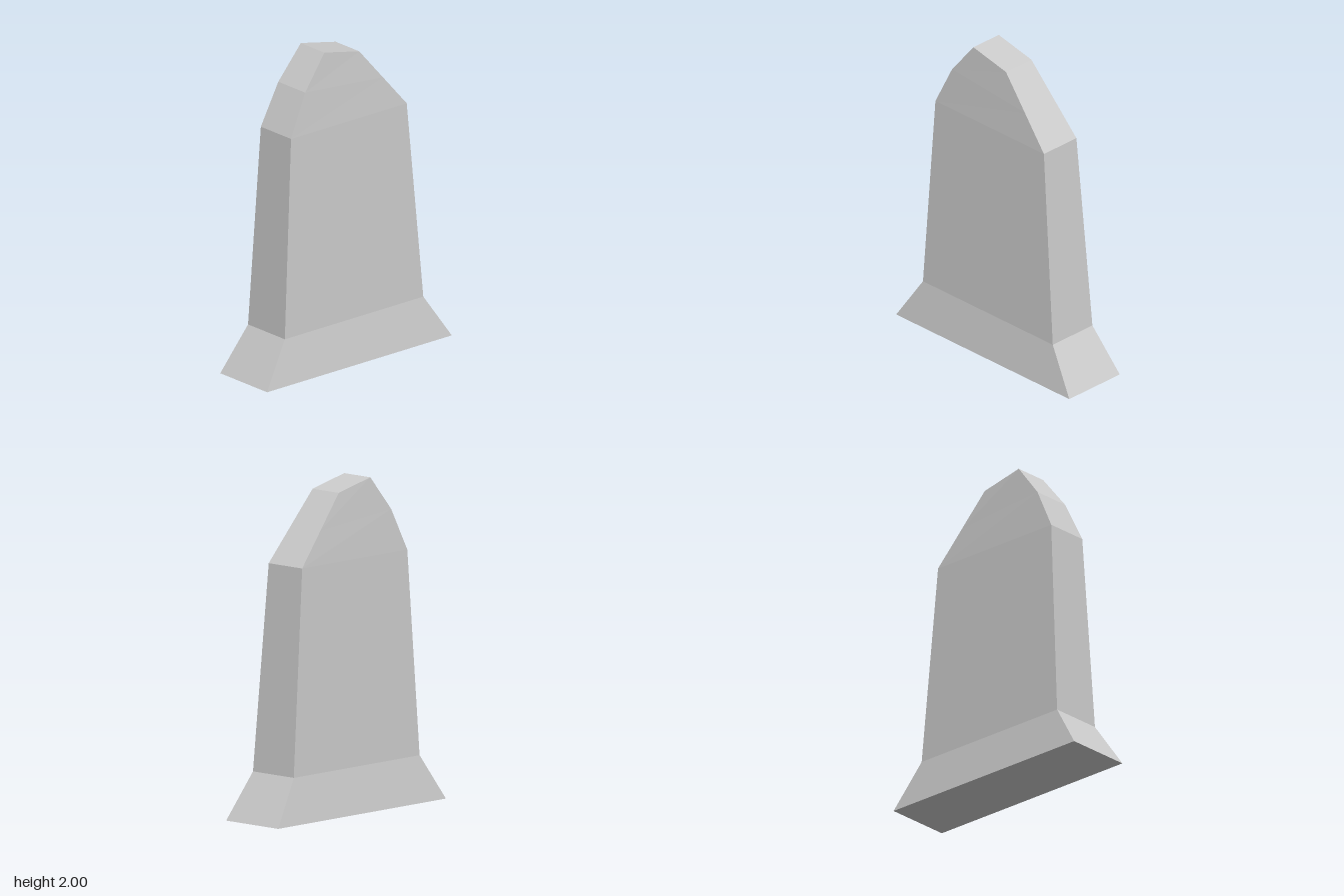
import * as THREE from 'three';

// Cross-sections, bottom to top: left x, left y, right x, right y, half depth
const SECTIONS = [
  [-0.73, 0, 0.73, 0, 0.213],
  [-0.55, 0.28, 0.545, 0.28, 0.167],
  [-0.475, 1.53, 0.44, 1.53, 0.137],
  [-0.35, 1.79, 0.265, 1.735, 0.122],
  [-0.185, 2, 0.09, 1.94, 0.107],
];

// Joins four-cornered sections into a closed solid
function loft(sections) {
  const positions = [];
  const index = [];
  const quad = (a, b, c, d) => index.push(a, b, c, a, c, d);
  for (const [lx, ly, rx, ry, d] of sections) {
    positions.push(lx, ly, d, rx, ry, d, rx, ry, -d, lx, ly, -d);
  }
  for (let i = 0; i < sections.length - 1; i++) {
    for (let j = 0; j < 4; j++) {
      const k = (j + 1) % 4;
      quad(i * 4 + j, i * 4 + k, i * 4 + 4 + k, i * 4 + 4 + j);
    }
  }
  const top = (sections.length - 1) * 4;
  quad(3, 2, 1, 0); // underside
  quad(top, top + 1, top + 2, top + 3); // slanted cap
  const indexed = new THREE.BufferGeometry();
  indexed.setAttribute('position', new THREE.Float32BufferAttribute(positions, 3));
  indexed.setIndex(index);
  const geometry = indexed.toNonIndexed();
  geometry.computeVertexNormals();
  return geometry;
}

export function createModel() {
  const group = new THREE.Group();
  group.name = 'gravestone';
  // Tapered slab with a flared foot and a crooked, chipped top
  const material = new THREE.MeshStandardMaterial({ color: 0xcccccc, flatShading: true });
  const slab = new THREE.Mesh(loft(SECTIONS), material);
  slab.name = 'stoneSlab';
  group.add(slab);
  return group;
}
